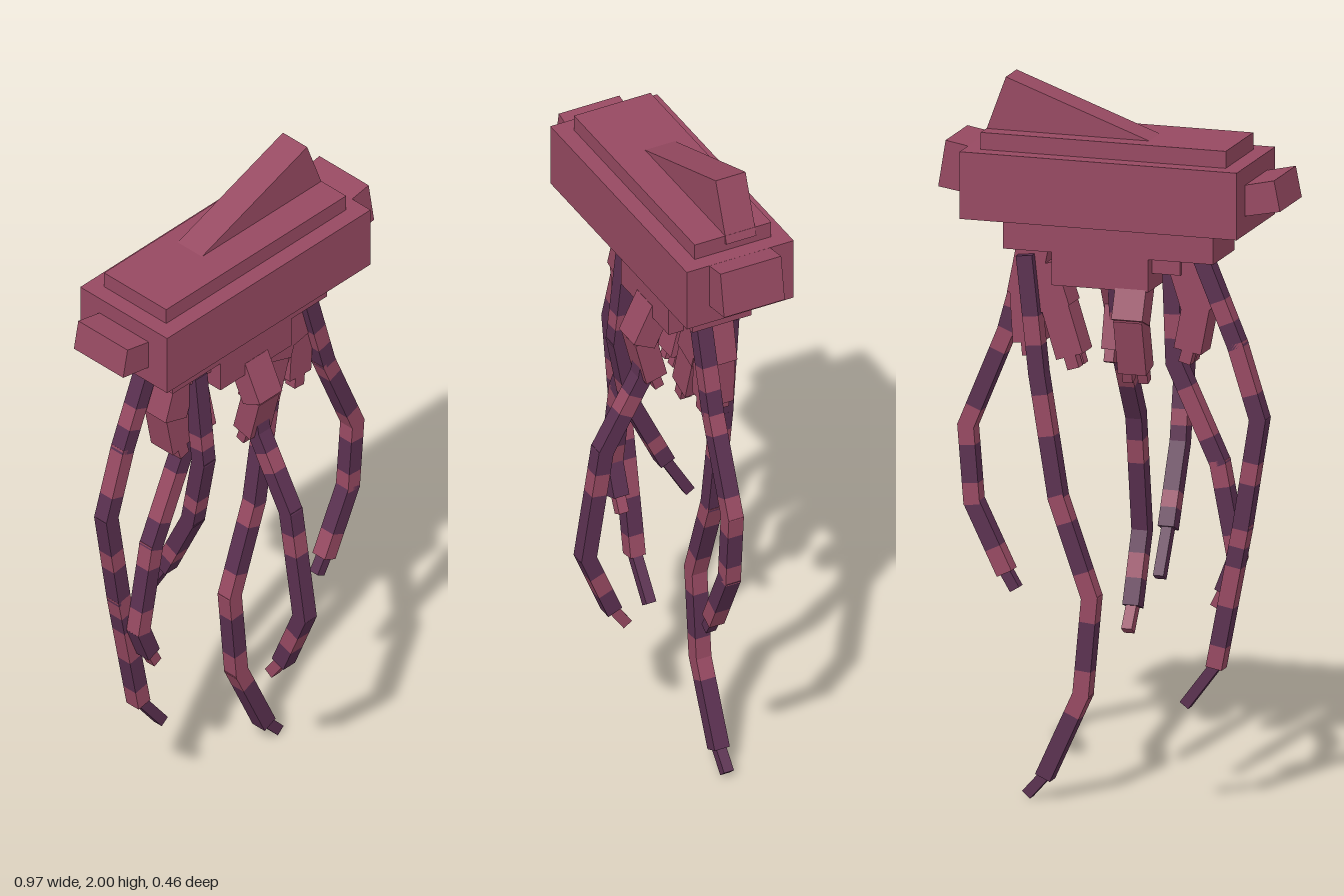
import * as THREE from 'three';

const V = (x, y, z) => new THREE.Vector3(x, y, z);

export function createModel() {
  const model = new THREE.Group();
  const rose = new THREE.MeshStandardMaterial({ color: 0x964961 });
  rose.name = 'rose shell';
  const plum = new THREE.MeshStandardMaterial({ color: 0x5a3050 });
  plum.name = 'plum stripe';

  // Box given by its limits on each axis
  function block(name, x0, x1, y0, y1, z0, z1) {
    const m = new THREE.Mesh(new THREE.BoxGeometry(x1 - x0, y1 - y0, z1 - z0), rose);
    m.position.set((x0 + x1) / 2, (y0 + y1) / 2, (z0 + z1) / 2);
    m.name = name;
    model.add(m);
  }

  // Outline in x and y, pushed along z
  function slab(name, pts, z0, z1) {
    const shape = new THREE.Shape(pts.map(p => new THREE.Vector2(...p)));
    const g = new THREE.ExtrudeGeometry(shape, { depth: z1 - z0, bevelEnabled: false });
    g.translate(0, 0, z0);
    const m = new THREE.Mesh(g, rose);
    m.name = name;
    model.add(m);
  }

  // Box running from a to b
  function bar(parent, name, a, b, w, d, mat) {
    const dir = b.clone().sub(a);
    const m = new THREE.Mesh(new THREE.BoxGeometry(w, dir.length(), d), mat);
    m.position.copy(a).lerp(b, 0.5);
    m.quaternion.setFromUnitVectors(V(0, -1, 0), dir.normalize());
    m.name = name;
    parent.add(m);
  }

  // Body, stacked from top to bottom
  block('topPlate', -0.342, 0.355, 1.8, 1.853, -0.187, 0.046);
  block('body', -0.388, 0.4, 1.62, 1.806, -0.232, 0.094);
  block('lowerBody', -0.295, 0.303, 1.528, 1.62, -0.155, 0.025);
  block('mouthBlock', -0.11, 0.165, 1.437, 1.528, -0.155, 0.025);
  block('rightSocket', -0.19, -0.11, 1.482, 1.528, -0.12, -0.01);

  // Tilted fin and side knobs
  slab('fin', [[-0.13, 1.845], [0.35, 1.825], [0.363, 1.83], [0.3, 2]], -0.138, -0.047);
  slab('rightKnob', [[-0.487, 1.69], [-0.38, 1.669], [-0.38, 1.755], [-0.47, 1.775]], -0.16, 0.025);
  slab('leftKnob', [[0.39, 1.673], [0.485, 1.688], [0.464, 1.817], [0.39, 1.804]], -0.16, 0.025);

  // Striped, jointed tentacle with a thinner tip; each word lists the
  // stripes of one joint, p for plum and r for rose
  function tentacle(name, pts, stripes) {
    const group = new THREE.Group();
    group.name = name;
    const words = stripes.split(' ');
    words.forEach((word, i) => {
      const a = pts[i], b = pts[i + 1];
      const last = i === words.length - 1;
      const w = last ? 0.03 : 0.046;
      const n = word.length;
      const extra = b.clone().sub(a).normalize().multiplyScalar(0.007);
      for (let k = 0; k < n; k++) {
        const p = a.clone().lerp(b, k / n), q = a.clone().lerp(b, (k + 1) / n);
        if (k === 0) p.sub(extra);
        if (k === n - 1 && !last) q.add(extra);
        bar(group, 'stripe', p, q, w, w, word[k] === 'r' ? rose : plum);
      }
    });
    model.add(group);
  }
  const sideways = (z, pts) => pts.map(([x, y]) => V(x, y, z));
  const foreAft = (x, pts) => pts.map(([z, y]) => V(x, y, z));

  tentacle('leftTentacle', sideways(-0.02,
    [[0.26, 1.54], [0.335, 1.27], [0.447, 1.0], [0.43, 0.79], [0.34, 0.605], [0.31, 0.555]]),
  'pprp rpppr rppr ppr p');
  tentacle('longTentacle', sideways(-0.11,
    [[0.25, 1.5], [0.215, 1.18], [0.16, 0.84], [0.065, 0.57], [0.09, 0.3], [0.195, 0.07], [0.247, 0.012]]),
  'pprp prrppp rppr rppr rppp p');
  tentacle('outerRightTentacle', sideways(-0.11,
    [[-0.25, 1.54], [-0.35, 1.3], [-0.413, 1.1], [-0.365, 0.8], [-0.29, 0.41], [-0.202, 0.293]]),
  'pprp rrp pprpp rprrppr p');
  tentacle('innerRightTentacle', sideways(-0.065,
    [[-0.15, 1.5], [-0.16, 1.23], [-0.285, 0.96], [-0.335, 0.7], [-0.3, 0.61], [-0.275, 0.56]]),
  'pprp prrp rppr pp r');
  tentacle('frontTentacle', foreAft(0.028,
    [[0.0, 1.45], [0.035, 1.23], [0.155, 1.02], [0.207, 0.69], [0.13, 0.5], [0.085, 0.435]]),
  'pprp prpp prppp prp r');
  tentacle('backTentacle', foreAft(-0.16,
    [[-0.02, 1.49], [0.01, 1.22], [-0.03, 1.0], [-0.13, 0.79], [-0.205, 0.663]]),
  'pppprp ppprp ppprp p');

  // Short two-part feelers ending in a pair of claws
  function feeler(name, a, b, c, w, d) {
    const group = new THREE.Group();
    group.name = name;
    bar(group, 'upperFeeler', a, b, w, d, rose);
    bar(group, 'lowerFeeler', b.clone().lerp(a, 0.12), c, w * 0.92, d * 0.92, rose);
    const tip = c.clone().sub(b).normalize().multiplyScalar(0.035).add(c);
    const size = Math.min(w, d) * 0.4;
    for (const s of [-1, 1]) {
      const side = w > d ? V(s * w * 0.25, 0, 0) : V(0, 0, s * d * 0.25);
      bar(group, 'claw', c.clone().add(side), tip.clone().add(side), size, size, rose);
    }
    model.add(group);
  }
  feeler('leftOuterFeeler', V(0.235, 1.525, -0.065), V(0.262, 1.39, -0.065), V(0.25, 1.26, -0.065), 0.09, 0.09);
  feeler('leftInnerFeeler', V(0.21, 1.48, -0.065), V(0.17, 1.36, -0.065), V(0.13, 1.23, -0.065), 0.085, 0.09);
  feeler('rightFeeler', V(-0.19, 1.52, -0.065), V(-0.235, 1.38, -0.065), V(-0.205, 1.27, -0.065), 0.085, 0.09);
  feeler('frontFeeler', V(0.028, 1.46, -0.005), V(0.028, 1.35, 0.05), V(0.028, 1.23, 0.01), 0.088, 0.07);
  feeler('backFeeler', V(-0.06, 1.46, -0.11), V(-0.06, 1.35, -0.155), V(-0.06, 1.21, -0.11), 0.088, 0.07);

  return model;
}
